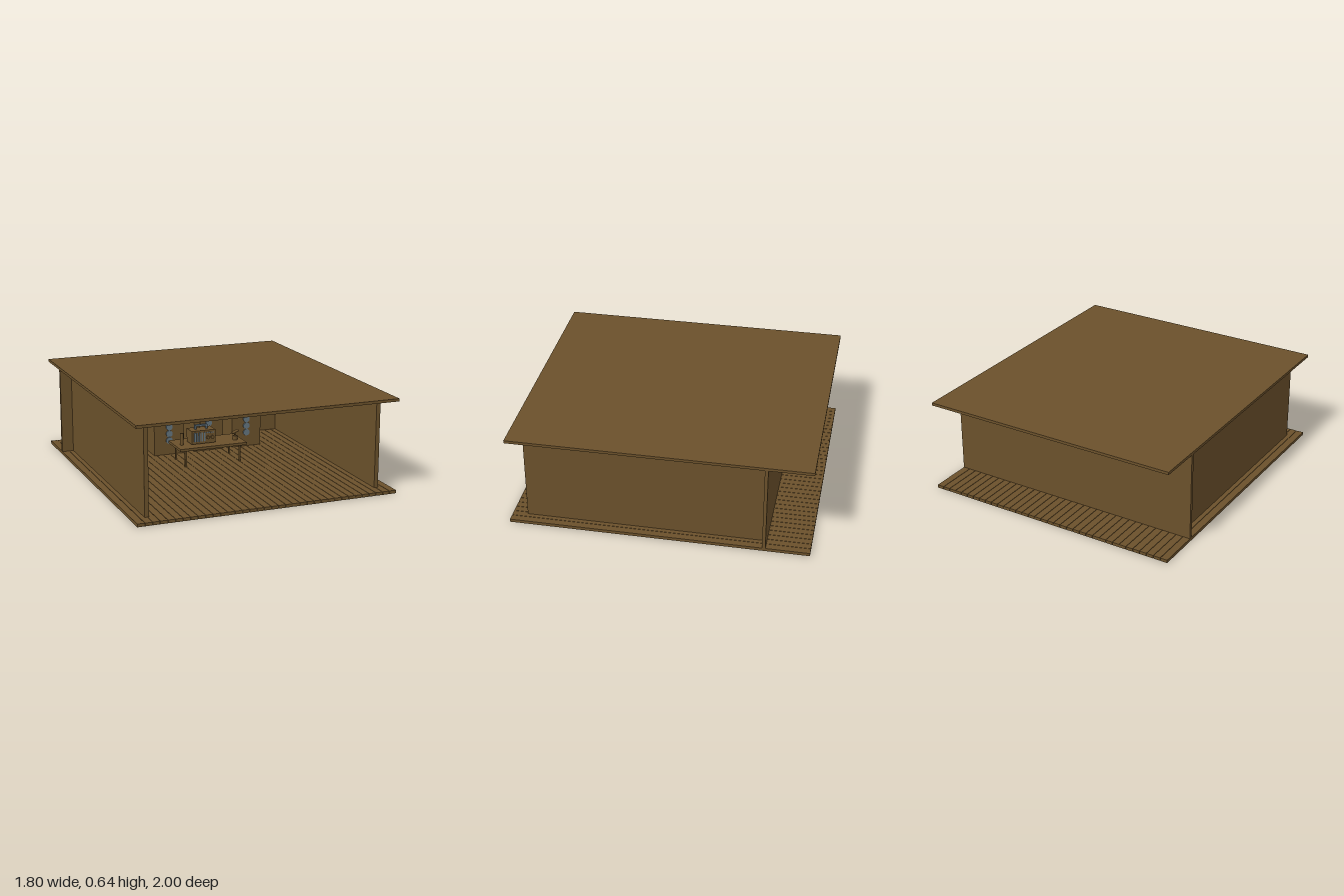
import * as THREE from 'three';

export function createModel() {
  const model = new THREE.Group();
  const wood = new THREE.MeshStandardMaterial({ color: 0x6b512b });
  wood.name = 'brown wood';
  const steel = new THREE.MeshStandardMaterial({ color: 0x64757f });
  steel.name = 'blue grey';

  const add = (name, geometry, material, x, y, z, parent = model) => {
    const mesh = new THREE.Mesh(geometry, material);
    mesh.name = name;
    mesh.position.set(x, y, z);
    parent.add(mesh);
    return mesh;
  };
  // Box given by its low and high corners
  const box = (name, material, [x0, y0, z0], [x1, y1, z1], parent) =>
    add(name, new THREE.BoxGeometry(x1 - x0, y1 - y0, z1 - z0), material,
      (x0 + x1) / 2, (y0 + y1) / 2, (z0 + z1) / 2, parent);
  // Upright cylinder, or one that faces the front
  const disc = (name, material, r, h, x, y, z, parent, facing = true, sides = 12) => {
    const g = new THREE.CylinderGeometry(r, r, h, sides);
    if (facing) g.rotateX(Math.PI / 2);
    return add(name, g, material, x, y, z, parent);
  };
  const group = (name) => {
    const g = new THREE.Group();
    g.name = name;
    model.add(g);
    return g;
  };

  // Floor of planks running front to back
  const floor = group('floor');
  const count = 36, pitch = 1.8 / count, gap = 0.003;
  for (let i = 0; i < count; i++) {
    const x = -0.9 + i * pitch;
    box('floorPlank', wood, [x + (i ? gap / 2 : 0), 0, -1],
      [x + pitch - (i < count - 1 ? gap / 2 : 0), 0.021, 1], floor);
  }

  // Roof and walls, open at the front
  box('roof', wood, [-0.9, 0.625, -1], [0.9, 0.644, 1]);
  box('backWall', wood, [-0.9, 0.021, -0.71], [0.9, 0.625, -0.688]);
  for (const s of [-1, 1]) {
    add('sideWall', new THREE.BoxGeometry(0.028, 0.604, 1.588), wood, s * 0.804, 0.323, 0.106);
  }

  // Ceiling beam with a row of pegs
  box('ceilingBeam', wood, [-0.79, 0.59, 0.84], [0.79, 0.625, 0.87]);
  for (let i = -7; i <= 7; i++) disc('beamPeg', wood, 0.005, 0.012, i * 0.1, 0.602, 0.875, model, true, 8);

  // Window on the back wall
  const win = group('window');
  box('windowGlass', steel, [-0.09, 0.27, -0.688], [0.29, 0.515, -0.68], win);
  for (const x of [-0.098, 0.285]) box('windowFrameSide', steel, [x, 0.27, -0.688], [x + 0.014, 0.524, -0.668], win);
  box('windowFrameTop', steel, [-0.098, 0.51, -0.688], [0.299, 0.524, -0.668], win);
  box('windowSill', wood, [-0.1, 0.27, -0.688], [0.3, 0.282, -0.65], win);
  for (const x of [-0.012, 0.207]) box('windowBar', wood, [x - 0.004, 0.28, -0.68], [x + 0.004, 0.524, -0.664], win);

  // Wall shelves with rows of books
  const shelves = group('shelves');
  for (const s of [-1, 1]) {
    add('shelf', new THREE.BoxGeometry(0.27, 0.012, 0.1), wood, s * 0.525, 0.274, -0.638, shelves);
    for (const start of s < 0 ? [-0.655, -0.5] : [0.4, 0.55]) {
      for (let i = 0; i < 5; i++) {
        box('book', steel, [start + i * 0.02, 0.28, -0.67],
          [start + i * 0.02 + 0.016, 0.342, -0.61], shelves);
      }
    }
  }
  box('shelf', wood, [-0.35, 0.274, -0.688], [-0.1, 0.284, -0.59], shelves);

  // Four cabinets, each with three round plates
  for (const x of [-0.503, -0.203, 0.1, 0.398]) {
    const cabinet = group('cabinet');
    box('cabinetBody', wood, [x - 0.113, 0.021, -0.56], [x + 0.113, 0.323, -0.34], cabinet);
    for (const y of [0.125, 0.175, 0.225]) disc('cabinetDial', steel, 0.025, 0.009, x, y, -0.336, cabinet, true, 10);
  }

  // Desk
  const desk = group('desk');
  box('deskTop', wood, [-0.25, 0.14, -0.23], [0.25, 0.158, 0.02], desk);
  for (const x of [-0.203, 0.203]) {
    for (const z of [-0.2, -0.005]) box('deskLeg', wood, [x - 0.006, 0.021, z - 0.006], [x + 0.006, 0.14, z + 0.006], desk);
  }

  // Radio set with grille, dials and aerial
  const radio = group('radio');
  box('radioBody', wood, [-0.14, 0.163, -0.15], [0.037, 0.258, -0.05], radio);
  for (const x of [-0.12, 0.016]) box('radioFoot', wood, [x - 0.008, 0.158, -0.13], [x + 0.008, 0.163, -0.07], radio);
  for (let i = 0; i < 5; i++) {
    const x = -0.122 + i * 0.018;
    box('radioGrille', steel, [x, 0.18, -0.05], [x + 0.01, 0.245, -0.044], radio);
  }
  for (const x of [-0.02, 0.013]) {
    disc('radioDial', wood, 0.012, 0.012, x, 0.205, -0.044, radio);
  }
  for (let i = 0; i < 4; i++) disc('radioButton', steel, 0.005, 0.006, -0.026 + i * 0.015, 0.24, -0.047, radio, true, 8);
  for (const x of [-0.095, -0.012]) box('handlePost', steel, [x - 0.006, 0.258, -0.11], [x + 0.006, 0.285, -0.09], radio);
  box('radioHandle', steel, [-0.101, 0.278, -0.11], [-0.006, 0.29, -0.09], radio);
  const aerial = new THREE.LineCurve3(new THREE.Vector3(-0.05, 0.255, -0.13), new THREE.Vector3(-0.02, 0.548, -0.13));
  add('aerial', new THREE.TubeGeometry(aerial, 1, 0.003, 6), wood, 0, 0, 0, radio);

  // Bottle, microphone and hanging hook
  disc('bottle', wood, 0.012, 0.085, -0.2, 0.2, -0.09, model, false);
  const mic = group('microphone');
  disc('microphoneBase', wood, 0.017, 0.03, 0.2, 0.173, -0.08, mic, false);
  disc('microphoneStem', wood, 0.004, 0.03, 0.2, 0.2, -0.08, mic, false, 8);
  const head = disc('microphoneHead', wood, 0.01, 0.05, 0.2, 0.216, -0.08, mic, false);
  head.rotation.z = -1.2;
  const hook = new THREE.CatmullRomCurve3([[0.243, 0.205], [0.255, 0.235], [0.245, 0.255], [0.252, 0.275]]
    .map(([x, y]) => new THREE.Vector3(x, y, -0.67)));
  add('wallHook', new THREE.TubeGeometry(hook, 10, 0.004, 6), wood, 0, 0, 0);

  return model;
}
